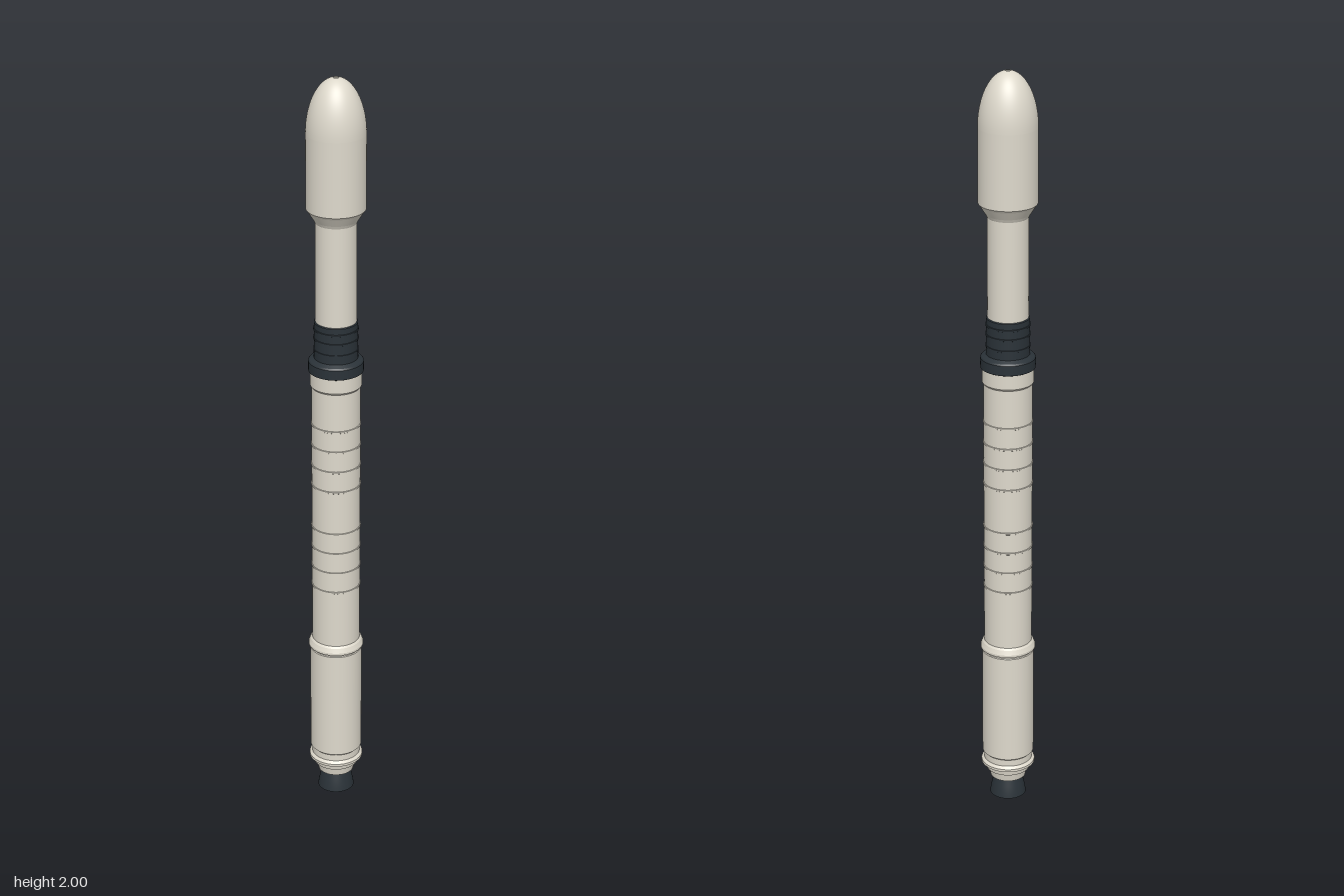
import * as THREE from 'three';

const SEGMENTS = 64;
const cream = new THREE.MeshStandardMaterial({ color: 0xded9cc, side: THREE.DoubleSide });
const dark = new THREE.MeshStandardMaterial({ color: 0x2a3238, side: THREE.DoubleSide });

// Revolved shell from [radius, height] pairs, listed bottom to top
function shell(name, profile, material) {
  const points = profile.map(([r, y]) => new THREE.Vector2(r, y));
  const mesh = new THREE.Mesh(new THREE.LatheGeometry(points, SEGMENTS), material);
  mesh.name = name;
  return mesh;
}

// Revolved shell with a sharp edge at every profile corner
function sharpShell(name, profile, material) {
  const doubled = profile.flatMap((p, i) => (i > 0 && i < profile.length - 1 ? [p, p] : [p]));
  const group = new THREE.Group();
  group.name = name;
  for (let i = 0; i < doubled.length; i += 2) {
    group.add(shell(name + 'Band', [doubled[i], doubled[i + 1]], material));
  }
  return group;
}

export function createModel() {
  const rocket = new THREE.Group();
  rocket.name = 'rocket';

  // Engine bell, open at the bottom
  rocket.add(shell('engineNozzle', [
    [0.048, 0], [0.046, 0.014], [0.042, 0.032], [0.036, 0.055],
  ], dark));

  // Tapered tail with two raised rings
  rocket.add(sharpShell('tailSection', [
    [0.036, 0.052], [0.047, 0.054], [0.051, 0.075], [0.058, 0.078], [0.06, 0.09],
    [0.071, 0.096], [0.071, 0.103], [0.064, 0.11], [0.064, 0.128], [0.068, 0.132],
  ], cream));

  // Wide lower body and the ring that closes it
  rocket.add(sharpShell('lowerBody', [
    [0.068, 0.132], [0.068, 0.434], [0.066, 0.436], [0.066, 0.44],
    [0.072, 0.442], [0.072, 0.448], [0.067, 0.46], [0.0625, 0.465],
  ], cream));

  // Main tank
  rocket.add(shell('mainTank', [[0.0625, 0.465], [0.0625, 1.195]], cream));

  // Thin weld bands in two sets of four
  for (const start of [0.625, 0.917]) {
    for (let i = 0; i < 4; i++) {
      const y = start + i * 0.057;
      rocket.add(sharpShell('tankBand', [
        [0.0625, y - 0.003], [0.0642, y - 0.002], [0.0642, y + 0.002], [0.0625, y + 0.003],
      ], cream));
    }
  }

  // Collar on top of the main tank
  rocket.add(sharpShell('tankCollar', [
    [0.0625, 1.192], [0.066, 1.197], [0.066, 1.235],
  ], cream));

  // Dark interstage with a wide flange
  rocket.add(sharpShell('interstage', [
    [0.066, 1.234], [0.07, 1.236], [0.07, 1.262], [0.067, 1.266], [0.056, 1.272],
    [0.055, 1.368], [0.052, 1.37],
  ], dark));
  for (const y of [1.295, 1.325, 1.35]) {
    rocket.add(sharpShell('interstageBand', [
      [0.055, y - 0.003], [0.057, y - 0.002], [0.057, y + 0.002], [0.055, y + 0.003],
    ], dark));
  }

  // Slim upper stage
  rocket.add(shell('upperStage', [[0.052, 1.37], [0.052, 1.635]], cream));

  // Payload fairing: flared adapter, then a straight barrel
  rocket.add(sharpShell('fairingBarrel', [
    [0.052, 1.632], [0.056, 1.64], [0.07, 1.662], [0.0745, 1.668], [0.0745, 1.86],
  ], cream));

  // Rounded nose with a small opening at the tip
  const nose = [];
  const end = Math.acos(0.007 / 0.0745);
  for (let i = 0; i <= 20; i++) {
    const a = (end * i) / 20;
    nose.push([0.0745 * Math.cos(a), 1.86 + (0.14 * Math.sin(a)) / Math.sin(end)]);
  }
  rocket.add(shell('fairingNose', nose, cream));

  return rocket;
}
